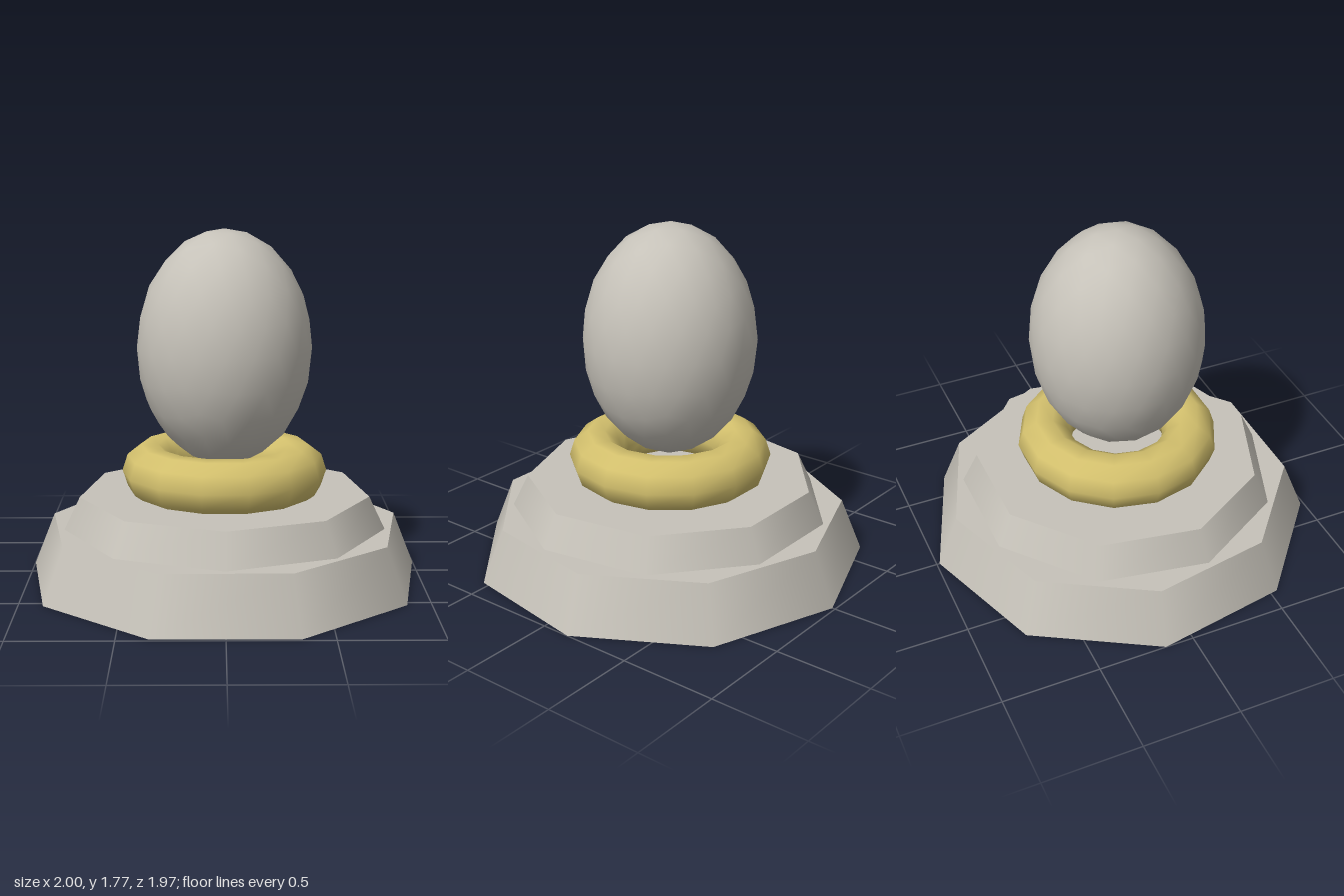
import * as THREE from 'three';

export function createModel() {
  const model = new THREE.Group();
  model.name = 'pedestalWithEgg';
  const stone = new THREE.MeshStandardMaterial({ color: 0xc6c2b9 });
  stone.name = 'pale stone';
  const gold = new THREE.MeshStandardMaterial({ color: 0xd3c06d });
  gold.name = 'soft gold';

  // all parts share one axis, since the nine-sided foot is off-centre in z
  const add = (name, geometry, material, y) => {
    const mesh = new THREE.Mesh(geometry, material);
    mesh.name = name;
    mesh.position.set(0, y, 0.03);
    model.add(mesh);
  };

  // two tapered nine-sided steps, the lower one turned corner-to-back
  const step = (top, bottom, height, turn) =>
    new THREE.CylinderGeometry(top, bottom, height, 9).rotateY(turn);
  add('lowerStep', step(0.905, 1.015, 0.275, Math.PI), stone, 0.1375);
  add('upperStep', step(0.74, 0.82, 0.165, 0), stone, 0.3575);

  // ring cushion, slightly sunk into the upper step
  add('ring', new THREE.TorusGeometry(0.38, 0.14, 10, 14).rotateX(Math.PI / 2), gold, 0.55);

  // egg: icosphere stood on a vertex, one upper edge towards +x
  const egg = new THREE.IcosahedronGeometry(1, 3)
    .rotateX(-Math.atan((1 + Math.sqrt(5)) / 2))
    .rotateY(Math.PI / 2)
    .scale(0.44, 0.595, 0.44);
  add('egg', egg, stone, 1.18);

  return model;
}
